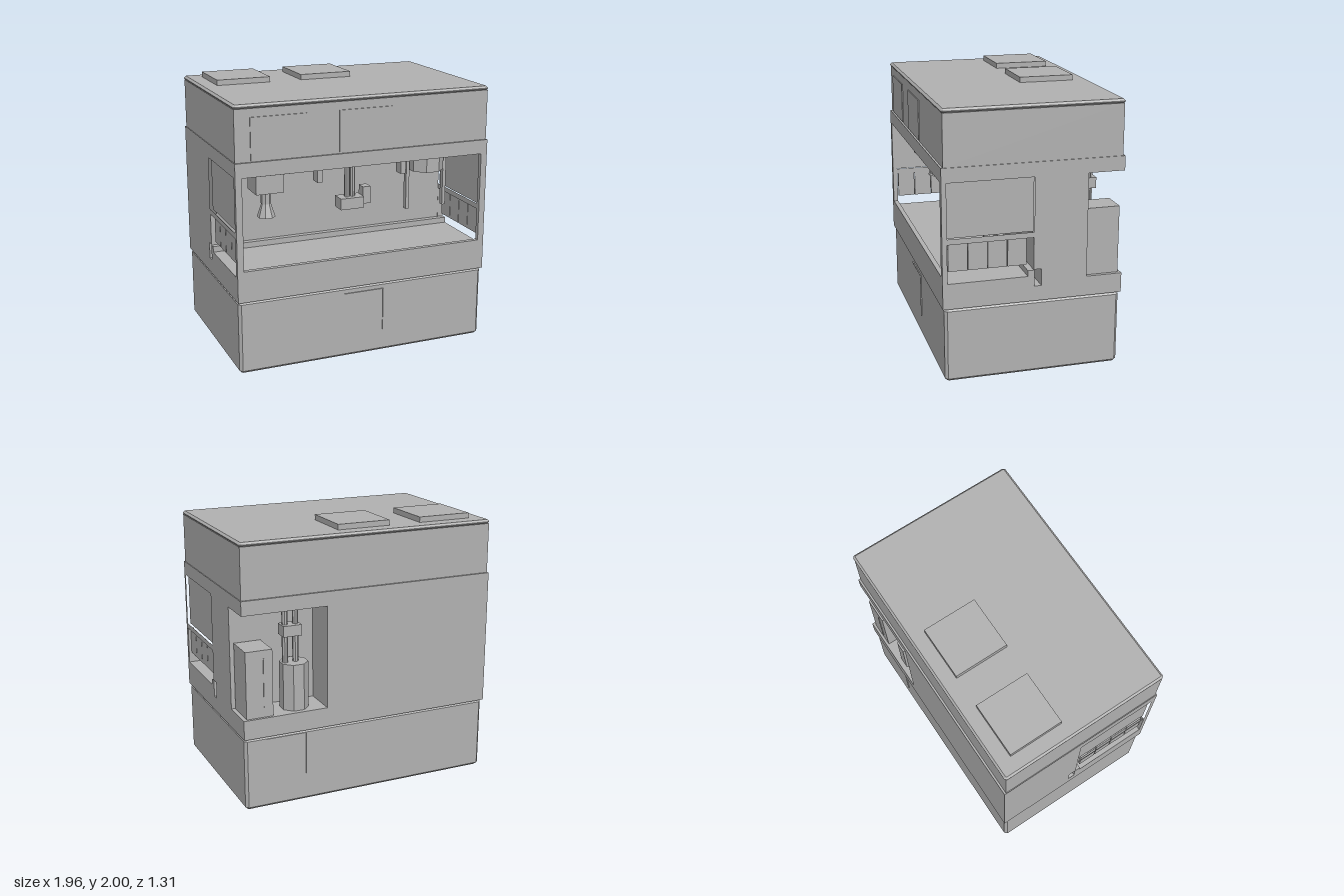
import * as THREE from 'three';

export function createModel() {
  const model = new THREE.Group();
  const grey = new THREE.MeshStandardMaterial({ color: 0xb0b0b0 });
  grey.name = 'machine grey';

  const add = (name, geometry) => {
    const mesh = new THREE.Mesh(geometry, grey);
    mesh.name = name;
    model.add(mesh);
    return mesh;
  };
  // Box given by its limits on each axis
  const box = (name, x0, x1, y0, y1, z0, z1) => add(name, new THREE.BoxGeometry(x1 - x0, y1 - y0, z1 - z0)
    .translate((x0 + x1) / 2, (y0 + y1) / 2, (z0 + z1) / 2));
  // Faceted upright prism or cone
  const prism = (name, x, z, y0, y1, rTop, rBottom = rTop, sides = 8) => {
    const g = new THREE.CylinderGeometry(rTop, rBottom, y1 - y0, sides).rotateY(Math.PI / sides).toNonIndexed();
    g.computeVertexNormals();
    return add(name, g.translate(x, (y0 + y1) / 2, z));
  };
  // Box with every edge chamfered by c
  const chamferBox = (name, hx, hz, y0, y1, c) => {
    const a = hx - c, b = hz - c;
    const s = new THREE.Shape([[-a, -hz], [a, -hz], [hx, -b], [hx, b], [a, hz], [-a, hz], [-hx, b], [-hx, -b]]
      .map(([x, y]) => new THREE.Vector2(x, y)));
    const g = new THREE.ExtrudeGeometry(s, {
      depth: y1 - y0 - 2 * c, bevelEnabled: true, bevelThickness: c, bevelSize: c, bevelOffset: -c, bevelSegments: 1,
    });
    return add(name, g.rotateX(-Math.PI / 2).translate(0, y0 + c, 0));
  };
  // Slice of the middle housing: a side profile of [z, y] points swept along x
  const slice = (name, outline, holes, x0, x1) => {
    const pts = (list) => list.map(([z, y]) => new THREE.Vector2(-z, y));
    const shape = new THREE.Shape(pts(outline));
    holes.forEach((h) => shape.holes.push(new THREE.Path(pts(h))));
    const g = new THREE.ExtrudeGeometry(shape, { depth: x1 - x0, bevelEnabled: false });
    add(name, g.rotateY(Math.PI / 2).translate(x0, 0, 0));
  };
  const rect = (z0, z1, y0, y1) => [[z0, y0], [z1, y0], [z1, y1], [z0, y1]];

  // Base, upper housing, lid and roof hatches
  chamferBox('base', 0.972, 0.642, 0, 0.55, 0.02);
  box('upperHousing', -0.972, 0.972, 1.56, 1.93, -0.64, 0.64);
  chamferBox('lid', 0.977, 0.648, 1.925, 1.96, 0.015);
  for (const [x0, x1] of [[-0.86, -0.45], [-0.205, 0.2]]) {
    box('roofHatch', x0, x1, 1.955, 2, -0.53, -0.12);
    box('frontPanel', x0, x1, 1.57, 1.87, 0.64, 0.648);
  }

  // Middle housing with open work bay, cable slot and rear corner recess
  const D = 0.655;
  const fullBack = [[-D, 1.56], [-D, 0.55]];
  const cutBack = [[-D, 1.56], [-D, 1.455], [-0.39, 1.455], [-0.39, 0.695], [-D, 0.695], [-D, 0.55]];
  const bay = [[D, 0.55], [D, 0.78], [0.62, 0.78], [0.62, 0.737], [0.045, 0.737], [0.045, 0.78],
    [0, 0.78], [0, 1.455], [D, 1.455], [D, 1.56]];
  const wall = [[D, 0.55], [D, 1.56]];
  const slot = rect(-0.002, -0.055, 0.66, 0.785);
  const sideWindow = rect(0, 0.62, 1.06, 1.455);
  const sideOpening = [[0.62, 0.737], [0.045, 0.737], [0.045, 0.78], [0.002, 0.78], [0.002, 1.02], [0.62, 1.02]];
  slice('leftBay', [...bay, ...cutBack], [slot], 0.34, 0.93);
  slice('rightBay', [...bay, ...fullBack], [slot], -0.93, 0.34);
  slice('leftWall', [...wall, ...cutBack], [slot, sideWindow, sideOpening], 0.93, 0.978);
  slice('rightWall', [...wall, ...fullBack], [slot, sideWindow, sideOpening], -0.978, -0.93);

  // Side window panes and hanging flaps
  for (const s of [-1, 1]) {
    const cx = s * 0.95;
    box('sidePane', cx - 0.008, cx + 0.008, 1.06, 1.455, 0, 0.62);
    for (let i = 0; i < 4; i++) {
      const z = 0.542 - i * 0.141;
      box('sideFlap', cx - 0.01, cx + 0.01, 0.82, 1.02, z - 0.068, z + 0.068);
    }
  }

  // Nozzle tool
  box('nozzleMount', -0.8, -0.51, 1.405, 1.455, 0.2, 0.48);
  box('nozzleBody', -0.76, -0.55, 1.26, 1.405, 0.24, 0.44);
  prism('nozzleNeck', -0.655, 0.34, 1.165, 1.26, 0.038);
  prism('nozzleCone', -0.655, 0.34, 1.065, 1.165, 0.035, 0.068);

  // Gripper head on twin rods
  box('headMount', -0.08, 0.07, 1.42, 1.455, 0.28, 0.42);
  for (const x of [-0.024, 0.02]) prism('headRod', x, 0.35, 1.15, 1.42, 0.02);
  box('headBlock', -0.095, 0.09, 1.065, 1.15, 0.29, 0.41);
  box('headSensor', 0.09, 0.15, 1.09, 1.22, 0.31, 0.39);

  // Ceiling tabs, drum and hanging posts
  for (const x of [-0.33, 0.325]) box('ceilingTab', x - 0.02, x + 0.02, 1.345, 1.455, 0.5, 0.58);
  prism('ceilingDrum', 0.65, 0.3, 1.285, 1.455, 0.138);
  for (const x of [0.493, 0.807]) box('hangingPost', x - 0.013, x + 0.013, 0.985, 1.455, 0.28, 0.32);

  // Rear recess: cabinet, tank and pipes
  box('rearCabinet', 0.75, 0.95, 0.695, 1.19, -0.635, -0.4);
  box('cabinetTrim', 0.81, 0.82, 0.77, 1.13, -0.641, -0.634);
  prism('rearTank', 0.545, -0.52, 0.69, 1.04, 0.105);
  for (const x of [0.53, 0.61]) prism('rearPipe', x, -0.52, 1.03, 1.455, 0.022);
  box('pipeClamp', 0.5, 0.64, 1.24, 1.32, -0.573, -0.47);

  // Thin seam strips on the base
  box('frontSeam', -0.17, 0.15, 0.494, 0.5, 0.64, 0.65);
  box('frontSeam', 0.144, 0.15, 0.17, 0.5, 0.64, 0.65);
  box('rearSeam', 0.5, 0.81, 0.524, 0.53, -0.65, -0.64);
  box('rearSeam', 0.5, 0.506, 0.21, 0.53, -0.65, -0.64);

  return model;
}
